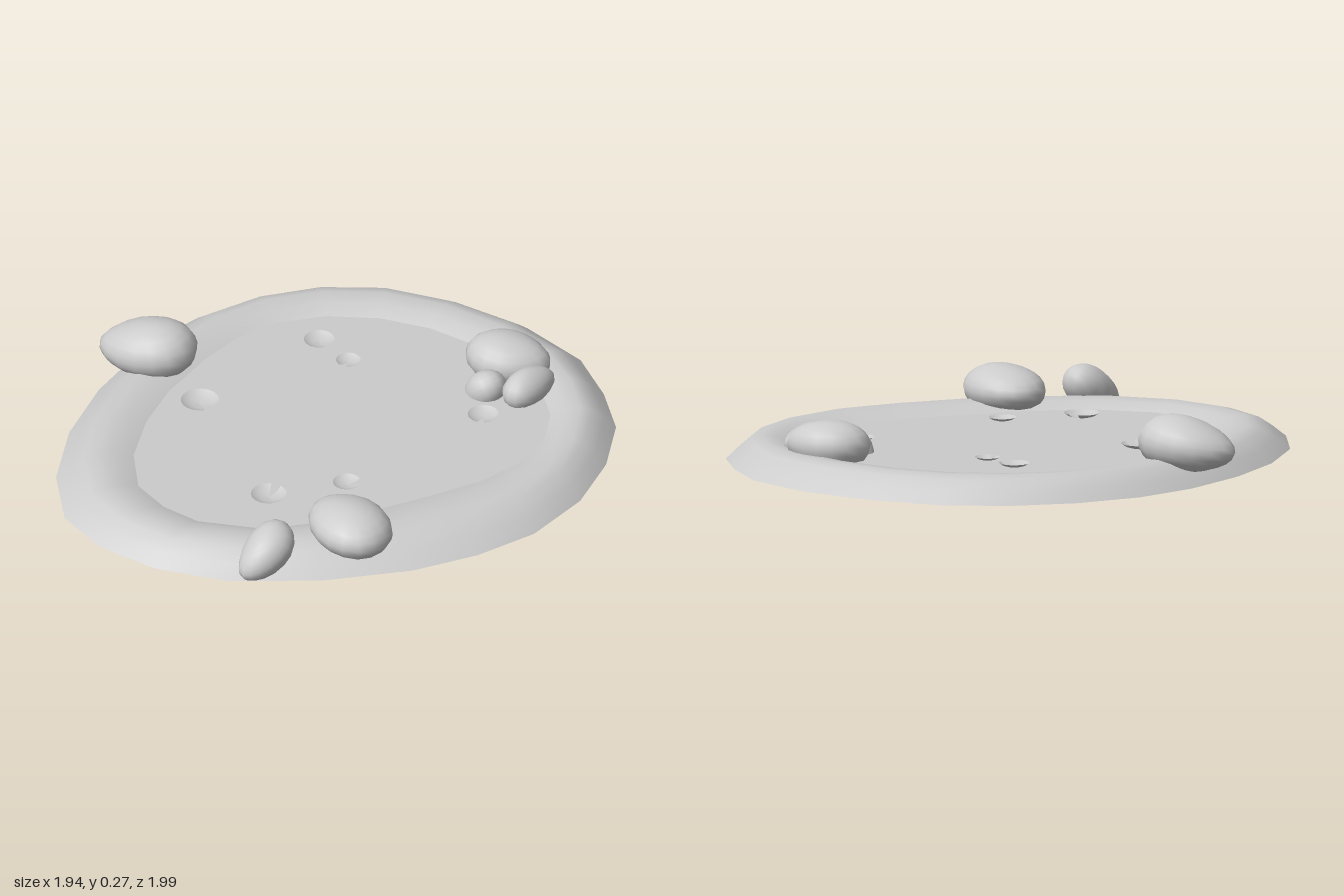
import * as THREE from 'three';
import { mergeVertices } from 'three/addons/utils/BufferGeometryUtils.js';

const material = new THREE.MeshStandardMaterial({ color: 0xcccccc });
const thinMaterial = new THREE.MeshStandardMaterial({ color: 0xcccccc, side: THREE.DoubleSide });

// Foot of the bank and shoreline, as matching [x, z] points
const outer = [
  [0.04, -1], [0.32, -0.97], [0.58, -0.87], [0.75, -0.71], [0.88, -0.54], [0.95, -0.31],
  [0.965, -0.06], [0.905, 0.2], [0.78, 0.41], [0.61, 0.6], [0.34, 0.8], [0.03, 0.95],
  [-0.24, 0.99], [-0.48, 0.95], [-0.67, 0.84], [-0.81, 0.62], [-0.89, 0.34], [-0.91, 0.05],
  [-0.88, -0.24], [-0.8, -0.48], [-0.66, -0.69], [-0.47, -0.86], [-0.24, -0.97],
];
const inner = [
  [0.04, -0.74], [0.26, -0.71], [0.44, -0.65], [0.57, -0.56], [0.67, -0.43], [0.72, -0.27],
  [0.7, -0.11], [0.63, 0.05], [0.51, 0.21], [0.35, 0.4], [0.22, 0.54], [0.05, 0.67],
  [-0.19, 0.73], [-0.34, 0.7], [-0.48, 0.62], [-0.58, 0.45], [-0.63, 0.24], [-0.64, 0.03],
  [-0.61, -0.21], [-0.56, -0.39], [-0.47, -0.54], [-0.33, -0.65], [-0.15, -0.72],
];
// Bank cross-section: [fraction from foot to shore, height]
const section = [[0, 0.035], [0.18, 0.077], [0.36, 0.112], [0.54, 0.125], [0.78, 0.119], [1, 0.095]];

function addMesh(group, name, geometry, mat = material) {
  const mesh = new THREE.Mesh(geometry, mat);
  mesh.name = name;
  group.add(mesh);
  return mesh;
}

// Bank lofted between the two outlines
function bankGeometry() {
  const n = outer.length, position = [], index = [];
  for (const [t, y] of section) {
    for (let i = 0; i < n; i++) {
      position.push(
        THREE.MathUtils.lerp(outer[i][0], inner[i][0], t), y,
        THREE.MathUtils.lerp(outer[i][1], inner[i][1], t));
    }
  }
  for (let r = 0; r < section.length - 1; r++) {
    for (let i = 0; i < n; i++) {
      const a = r * n + i, b = r * n + (i + 1) % n;
      index.push(a, a + n, b, b, a + n, b + n);
    }
  }
  const g = new THREE.BufferGeometry();
  g.setAttribute('position', new THREE.Float32BufferAttribute(position, 3));
  g.setIndex(index);
  g.computeVertexNormals();
  return g;
}

// Flat sheet filling an outline, facing up (+1) or down (-1)
function sheetGeometry(outline, y, facing) {
  const shape = new THREE.Shape(outline.map(([x, z]) => new THREE.Vector2(x, -facing * z)));
  return new THREE.ShapeGeometry(shape).rotateX(-facing * Math.PI / 2).translate(0, y, 0);
}

// Egg-shaped stone: thicker towards +x by taper, with gentle lumps
function stoneGeometry([sx, sy, sz], taper, seed) {
  let g = new THREE.SphereGeometry(1, 16, 12);
  g.deleteAttribute('uv');
  g.deleteAttribute('normal');
  g = mergeVertices(g, 1e-4);
  const p = g.attributes.position, v = new THREE.Vector3();
  for (let i = 0; i < p.count; i++) {
    v.fromBufferAttribute(p, i);
    const k = 1 + taper * v.x;
    const lump = 1 + 0.035 * Math.sin(3 * v.x + seed) * Math.cos(3 * v.z + 2 * seed);
    p.setXYZ(i, v.x * sx * lump, v.y * sy * k * lump, v.z * sz * k * lump);
  }
  g.computeVertexNormals();
  return g;
}

export function createModel() {
  const model = new THREE.Group();
  model.name = 'pond';

  addMesh(model, 'bank', bankGeometry());
  addMesh(model, 'water', sheetGeometry(inner, 0.095, 1));
  addMesh(model, 'base', sheetGeometry(outer, 0.035, -1));

  // Stones: centre, half sizes, rotation, taper
  const stones = [
    ['leftBankStone', [-0.79, 0.165, -0.105], [0.185, 0.1, 0.135], [0, 0.08, 0.12], 0.2],
    ['backBankStone', [0.405, 0.145, -0.63], [0.155, 0.09, 0.118], [0, 0.12, 0], -0.1],
    ['backSmallStone', [0.385, 0.095, -0.47], [0.1, 0.068, 0.07], [-0.2, -0.25, 0.85], 0.12],
    ['backSideStone', [0.54, 0.125, -0.52], [0.12, 0.07, 0.07], [0, 1.3, 0], -0.12],
    ['frontBankStone', [0.355, 0.155, 0.595], [0.18, 0.09, 0.14], [0, -0.6, 0], 0.08],
    ['frontSmallStone', [0.14, 0.135, 0.85], [0.13, 0.075, 0.085], [0, 1.25, 0.5], 0.16],
  ];
  stones.forEach(([name, centre, size, rotation, taper], i) => {
    const stone = addMesh(model, name, stoneGeometry(size, taper, i * 1.7));
    stone.position.set(...centre);
    stone.rotation.set(...rotation, 'YZX');
  });

  // Lily pads: x, z, radius, notch direction (x, z)
  const pads = [
    [-0.28, -0.48, 0.056, 1, 0.35], [-0.13, -0.41, 0.045, -0.1, 1], [0.46, -0.305, 0.056, 0.25, 1],
    [-0.5, 0.06, 0.07, 1, 0.5], [0.2, 0.295, 0.051, 1, -0.6], [-0.02, 0.49, 0.065, 0, -1],
  ];
  const padProfile = [[0, 0], [0.4, 0.04], [0.75, 0.14], [1, 0.3]];
  for (const [x, z, r, dx, dz] of pads) {
    const profile = padProfile.map(([a, b]) => new THREE.Vector2(a * r, b * r));
    const notch = 0.6;
    const geometry = new THREE.LatheGeometry(
      profile, 16, Math.atan2(dx, dz) + notch / 2, Math.PI * 2 - notch);
    addMesh(model, 'lilyPad', geometry, thinMaterial).position.set(x, 0.099, z);
  }
  return model;
}
